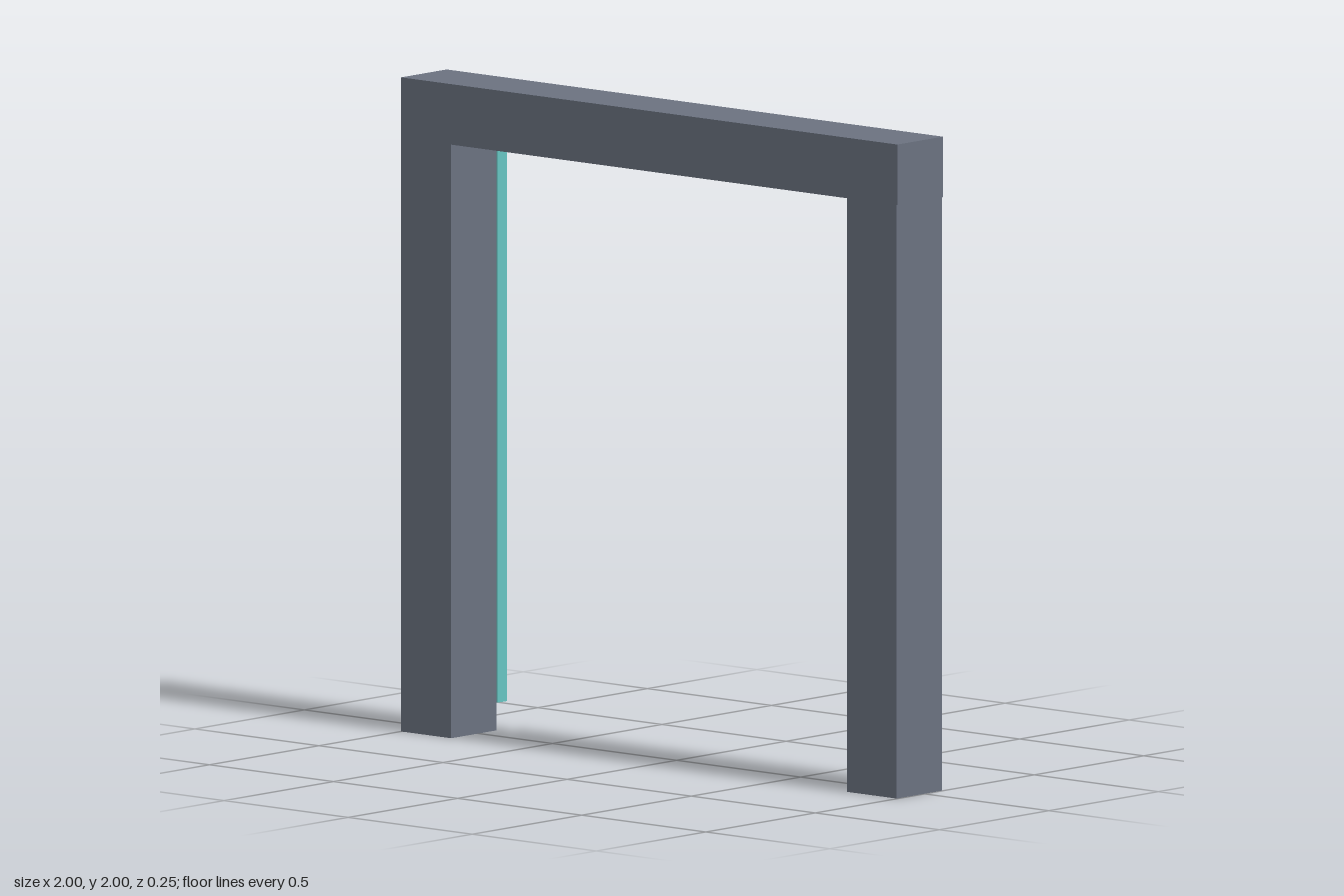
import * as THREE from 'three';

export function createModel() {
  const group = new THREE.Group();
  const frameMat = new THREE.MeshStandardMaterial({ color: 0x6b7280 });
  const stripMat = new THREE.MeshStandardMaterial({ color: 0x66c4c1 });

  // Box given by its min and max corners
  const box = (name, mat, [x0, y0, z0], [x1, y1, z1]) => {
    const mesh = new THREE.Mesh(new THREE.BoxGeometry(x1 - x0, y1 - y0, z1 - z0), mat);
    mesh.position.set((x0 + x1) / 2, (y0 + y1) / 2, (z0 + z1) / 2);
    mesh.name = name;
    group.add(mesh);
  };

  const back = -0.083, front = 0.125, beamBottom = 1.815;

  // Door frame: two posts under a full-width beam
  box('rightPost', frameMat, [-1, 0, back], [-0.798, beamBottom, front]);
  box('leftPost', frameMat, [0.796, 0, back], [0.997, beamBottom, front]);
  box('topBeam', frameMat, [-1, beamBottom, back], [1, 2, front]);

  // Upright strips on the back of the posts
  box('rightStrip', stripMat, [-0.834, 0.085, -0.125], [-0.794, 1.835, back]);
  box('leftStrip', stripMat, [0.79, 0.085, -0.125], [0.83, 1.835, back]);

  // Strip set into the lower back edge of the beam
  box('topStrip', stripMat, [-0.752, 1.797, -0.105], [0.75, 1.835, -0.02]);

  return group;
}
